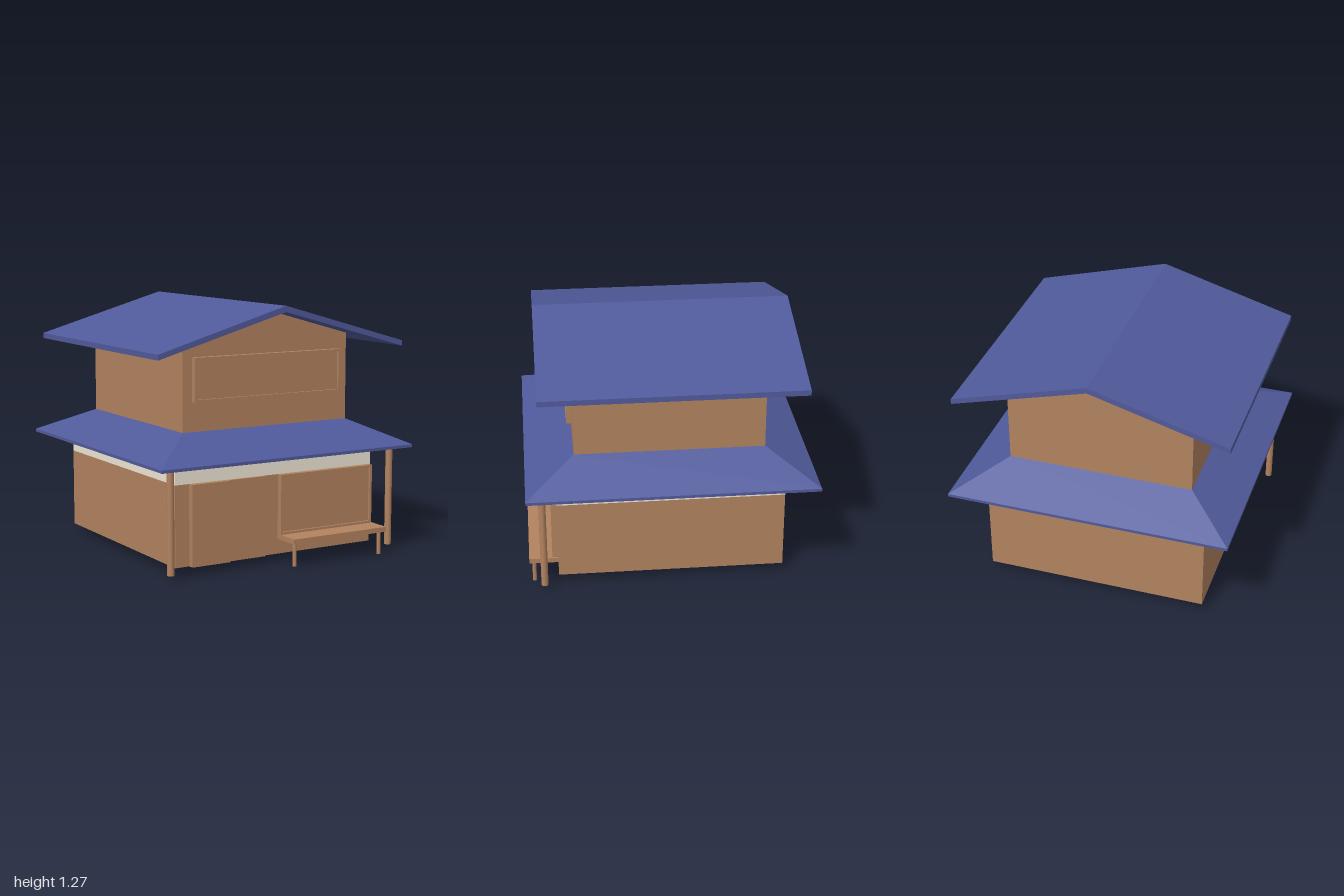
import * as THREE from 'three';

const wood = new THREE.MeshStandardMaterial({ color: 0xb2825f });
const plaster = new THREE.MeshStandardMaterial({ color: 0xf0e6d6 });
const tile = new THREE.MeshStandardMaterial({ color: 0x505a9b, flatShading: true });

export function createModel() {
  const house = new THREE.Group();
  house.name = 'house';

  const add = (name, geometry, material, x = 0, y = 0, z = 0) => {
    const mesh = new THREE.Mesh(geometry, material);
    mesh.name = name;
    mesh.position.set(x, y, z);
    house.add(mesh);
    return mesh;
  };
  // box given by its limits on each axis
  const box = (name, material, [x0, x1], [y0, y1], [z0, z1]) =>
    add(name, new THREE.BoxGeometry(x1 - x0, y1 - y0, z1 - z0), material,
      (x0 + x1) / 2, (y0 + y1) / 2, (z0 + z1) / 2);
  // outline in x and y, extruded along z and centred
  const prism = (name, material, points, depth) => {
    const shape = new THREE.Shape(points.map(([x, y]) => new THREE.Vector2(x, y)));
    const geometry = new THREE.ExtrudeGeometry(shape, { depth, bevelEnabled: false });
    geometry.translate(0, 0, -depth / 2);
    return add(name, geometry, material);
  };
  // projecting window: frame with a slightly sunken pane
  const windowBox = (name, x0, x1, y0, y1, wallZ) => {
    const t = 0.012, front = wallZ + 0.03;
    box(name + 'Pane', wood, [x0 + t, x1 - t], [y0 + t, y1 - t], [wallZ - 0.02, front - 0.012]);
    for (const x of [x0, x1 - t]) box(name + 'Stile', wood, [x, x + t], [y0, y1], [wallZ - 0.02, front]);
    for (const y of [y0, y1 - t]) box(name + 'Rail', wood, [x0 + t, x1 - t], [y, y + t], [wallZ - 0.02, front]);
  };

  // ground floor
  const low = 0.566;
  box('lowerWall', wood, [-low, low], [0.04, 0.44], [-low, low]);
  box('plasterBand', plaster, [-low, low], [0.44, 0.605], [-low, low]);

  // two overlapping sliding doors
  box('leftDoor', wood, [-0.49, -0.28], [0.04, 0.44], [low - 0.02, low + 0.03]);
  box('rightDoor', wood, [-0.28, -0.07], [0.04, 0.44], [low - 0.02, low + 0.015]);
  windowBox('lowerWindow', 0.01, 0.558, 0.14, 0.44, low);

  // bench below the window
  box('benchSeat', wood, [0.01, 0.566], [0.115, 0.14], [low - 0.01, 0.712]);
  for (const x of [0.03, 0.538])
    add('benchLeg', new THREE.CylinderGeometry(0.01, 0.01, 0.12, 12), wood, x, 0.06, 0.688);

  // porch posts under the eaves
  for (const x of [-0.631, 0.631])
    add('porchPost', new THREE.CylinderGeometry(0.0175, 0.0175, 0.54, 16), wood, x, 0.3, 0.639);

  // skirt roof: four-sided sloping shell around the upper floor
  const skirt = [[0.46, 0.661], [0.717, 0.535], [0.717, 0.55], [0.473, 0.67], [0.46, 0.67], [0.46, 0.661]]
    .map(([half, y]) => new THREE.Vector2(half * Math.SQRT2, y));
  const skirtGeometry = new THREE.LatheGeometry(skirt, 4);
  skirtGeometry.rotateY(Math.PI / 4);
  add('skirtRoof', skirtGeometry, tile);

  // upper floor with gables
  const up = 0.473;
  prism('upperWall', wood, [[-up, 0.61], [up, 0.61], [up, 1.107], [0, 1.24], [-up, 1.107]], 2 * up);
  windowBox('upperWindow', -0.42, 0.42, 0.815, 1.03, up);

  // gable roof with overhanging eaves
  prism('gableRoof', tile,
    [[-0.695, 1.045], [0, 1.24], [0.695, 1.045], [0.695, 1.072], [0, 1.27], [-0.695, 1.072]], 1.29);

  // the house stands turned on its plot
  house.rotation.y = 0.618;
  const model = new THREE.Group();
  model.add(house);
  return model;
}
